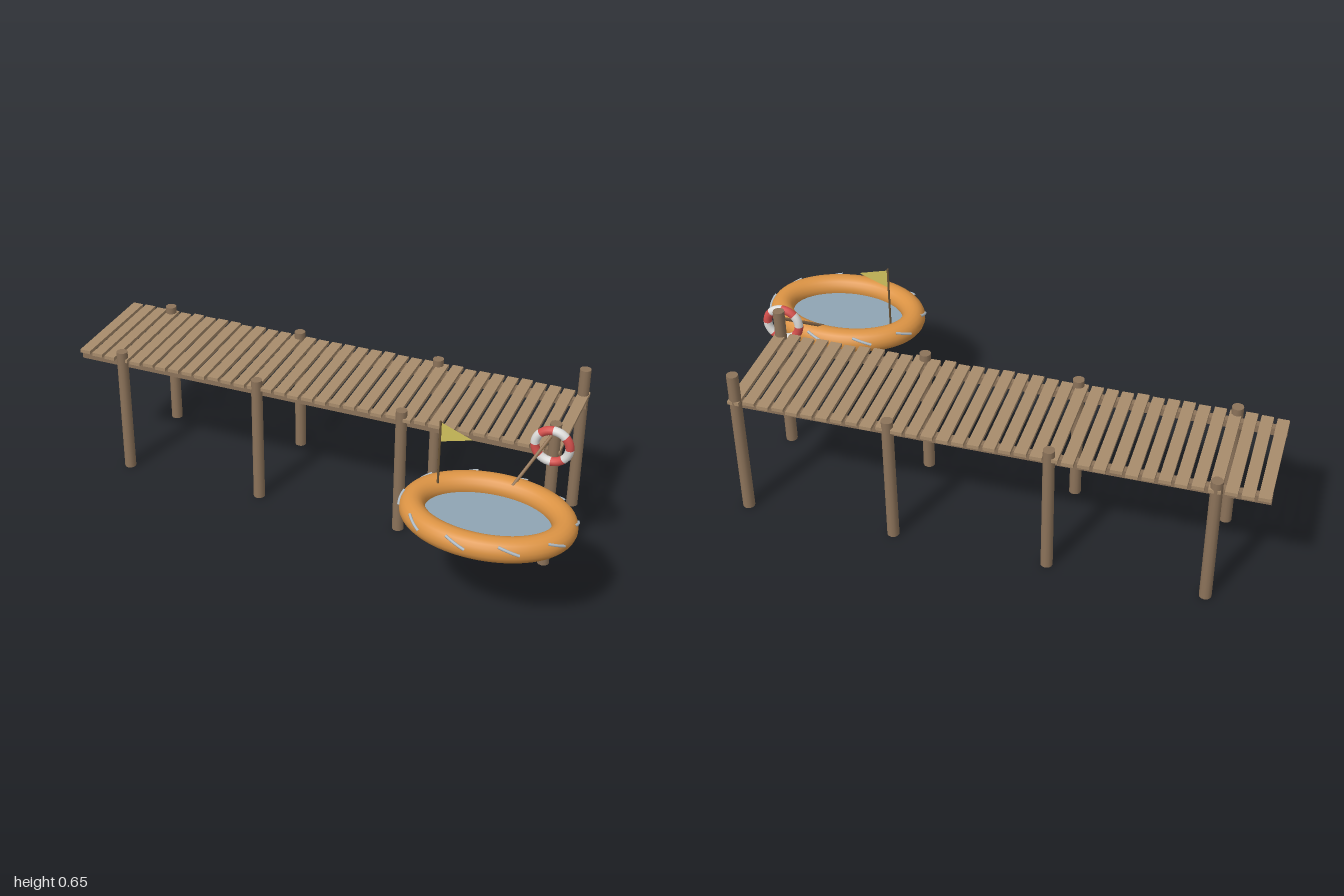
import * as THREE from 'three';

const paint = (name, color, side = THREE.FrontSide) => {
  const m = new THREE.MeshStandardMaterial({ color, side });
  m.name = name;
  return m;
};

export function createModel() {
  const model = new THREE.Group();
  model.name = 'dockWithRaft';

  const postWood = paint('postWood', 0x8c735a);
  const plankWood = paint('plankWood', 0xa88c6c);
  const ropeBrown = paint('ropeBrown', 0x8f7050);
  const orange = paint('raftOrange', 0xdb9344);
  const floorBlue = paint('floorBlue', 0x8fa5b3);
  const cordGrey = paint('cordGrey', 0xb4bfc8);
  const red = paint('ringRed', 0xd4504c);
  const white = paint('ringWhite', 0xdedddb);
  const poleWood = paint('poleWood', 0x6b5538);
  const flagYellow = paint('flagYellow', 0xcfc05c, THREE.DoubleSide);

  const add = (parent, name, geometry, material, x = 0, y = 0, z = 0) => {
    const mesh = new THREE.Mesh(geometry, material);
    mesh.name = name;
    mesh.position.set(x, y, z);
    parent.add(mesh);
    return mesh;
  };
  const group = (name, x = 0, y = 0, z = 0) => {
    const g = new THREE.Group();
    g.name = name;
    g.position.set(x, y, z);
    model.add(g);
    return g;
  };

  // Small seeded generator for the uneven planks, giving -1..1
  let seed = 7;
  const wobble = () => {
    seed = (seed * 16807) % 2147483647;
    return (seed / 2147483647) * 2 - 1;
  };

  // Dock: posts in pairs, the outer pair taller
  const dock = group('dock');
  for (const x of [-0.825, -0.277, 0.277, 0.823]) {
    const h = x > 0.5 ? 0.575 : 0.5;
    for (const z of [-0.065, -0.462]) {
      add(dock, 'post', new THREE.CylinderGeometry(0.0205, 0.0215, h, 12), postWood, x, h / 2, z);
    }
  }

  // Two beams under the deck
  for (const z of [-0.086, -0.44]) {
    add(dock, 'beam', new THREE.BoxGeometry(1.845, 0.028, 0.026), postWood, -0.0775, 0.447, z);
  }

  // Deck planks with slightly uneven ends
  const planks = 35, plankWidth = 0.041;
  const pitch = (1.845 - plankWidth) / (planks - 1);
  for (let i = 0; i < planks; i++) {
    const length = 0.424 + wobble() * 0.006;
    const plank = add(dock, 'plank', new THREE.BoxGeometry(plankWidth, 0.013, length), plankWood,
      -1 + plankWidth / 2 + i * pitch, 0.468 + wobble() * 0.001, -0.266 + wobble() * 0.005);
    plank.rotation.y = wobble() * 0.004;
  }

  // Raft: a round tube swept along an ellipse
  const A = 0.255, B = 0.178, R = 0.043;
  const raft = group('raft', 0.698, 0.381, 0.264);
  // Point on the tube surface: t runs round the ellipse, p round the section
  const onTube = (t, p, r) => {
    const n = new THREE.Vector2(Math.cos(t) / A, Math.sin(t) / B).normalize();
    const out = r * Math.cos(p);
    return new THREE.Vector3(A * Math.cos(t) + n.x * out, r * Math.sin(p), B * Math.sin(t) + n.y * out);
  };
  const ellipse = [];
  for (let i = 0; i < 32; i++) ellipse.push(onTube((i / 32) * Math.PI * 2, 0, 0));
  add(raft, 'raftTube', new THREE.TubeGeometry(
    new THREE.CatmullRomCurve3(ellipse, true), 72, R, 18, true), orange);

  const floor = add(raft, 'raftFloor', new THREE.CylinderGeometry(1, 1, 0.01, 48), floorBlue, 0, -0.015, 0);
  floor.scale.set(A - 0.02, 1, B - 0.02);

  // Ten short grab cords slanting round the outside
  for (let i = 0; i < 10; i++) {
    const mid = THREE.MathUtils.degToRad(i * 36 - 9);
    const points = [-1, -0.5, 0, 0.5, 1].map((s) => onTube(mid + s * 0.125, 0.46 + s * 0.3, R + 0.001));
    add(raft, 'grabCord', new THREE.TubeGeometry(
      new THREE.CatmullRomCurve3(points), 8, 0.005, 6), cordGrey);
  }

  // Flag pole and pennant
  add(model, 'flagPole', new THREE.CylinderGeometry(0.004, 0.004, 0.265, 8), poleWood, 0.5, 0.5195, 0.19);
  const pennant = new THREE.Shape();
  pennant.moveTo(0, 0.037);
  pennant.lineTo(0, -0.037);
  pennant.lineTo(0.115, 0);
  const flag = add(model, 'flag', new THREE.ShapeGeometry(pennant), flagYellow, 0.5, 0.61, 0.188);
  flag.rotation.y = -0.09;

  // Life ring of alternating coloured eighths, hung on the end post
  const ring = group('lifeRing', 0.823, 0.502, -0.036);
  for (let i = 0; i < 8; i++) {
    const piece = add(ring, i % 2 ? 'ringWhitePart' : 'ringRedPart',
      new THREE.TorusGeometry(0.06, 0.0155, 12, 8, Math.PI / 4), i % 2 ? white : red);
    piece.rotation.z = (i * Math.PI) / 4;
  }

  // Mooring line from the end post to the raft
  const line = new THREE.LineCurve3(
    new THREE.Vector3(0.82, 0.542, -0.06), new THREE.Vector3(0.735, 0.411, 0.112));
  add(model, 'mooringLine', new THREE.TubeGeometry(line, 1, 0.006, 8), ropeBrown);

  return model;
}
